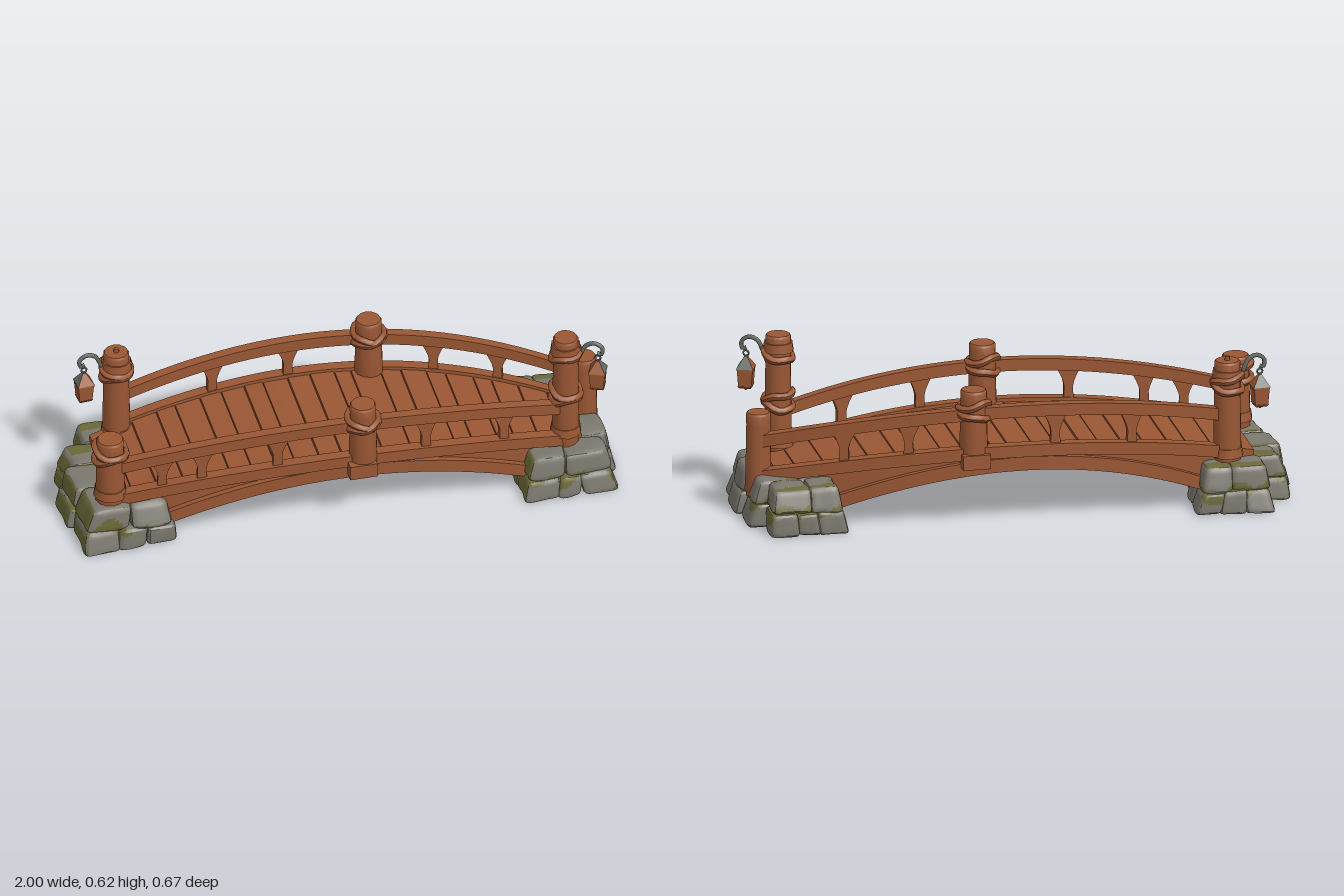
import * as THREE from 'three';
import { mergeVertices, toCreasedNormals } from 'three/addons/utils/BufferGeometryUtils.js';

const mat = (name, color) => {
  const m = new THREE.MeshStandardMaterial({ color });
  m.name = name;
  return m;
};

let seed = 7;
const rnd = (a = -1, b = 1) => {
  seed = (seed * 16807) % 2147483647;
  return a + (b - a) * (seed / 2147483647);
};

// Smooth cubic through four [x, z] points
const cubic = (pts) => (x) => pts.reduce((sum, [xi, zi], i) =>
  sum + pts.reduce((p, [xj], j) => (i === j ? p : p * (x - xj) / (xi - xj)), zi), 0);

const backEdge = cubic([[-0.85, -0.19], [-0.3, -0.248], [0.25, -0.222], [0.92, 0.005]]);
const frontEdge = cubic([[-0.85, 0.17], [-0.3, 0.25], [0.25, 0.268], [0.81, 0.215]]);
const deckY = (x) => 0.284 - 0.135 * x * x;
const railY = (x) => 0.445 - 0.155 * x * x;
const archY = (x) => 0.205 - 0.32 * x * x;

// Box bent so that its x, y and z faces follow the given rules
function bent(x0, x1, n, bottom, top, zBack, zFront) {
  const g = new THREE.BoxGeometry(1, 1, 1, n, 1, 6), p = g.attributes.position;
  const lerp = THREE.MathUtils.lerp;
  for (let i = 0; i < p.count; i++) {
    const x = x0 + (p.getX(i) + 0.5) * (x1 - x0);
    p.setXYZ(i, x, lerp(bottom(x), top(x), p.getY(i) + 0.5), lerp(zBack(x), zFront(x), p.getZ(i) + 0.5));
  }
  g.computeVertexNormals();
  return g;
}

export function createModel() {
  const model = new THREE.Group();
  const wood = mat('wood', 0x9a5734);
  const stone = mat('stone', 0x7b786e);
  const moss = mat('moss', 0x6b6938);
  const iron = mat('iron', 0x646a61);

  const add = (name, geo, material, parent = model, pos = [0, 0, 0]) => {
    const m = new THREE.Mesh(geo, material);
    m.name = name;
    m.position.set(...pos);
    parent.add(m);
    return m;
  };

  // Arched body under the deck
  add('archBody', bent(-0.72, 0.72, 32, archY, (x) => deckY(x) - 0.012,
    (x) => backEdge(x) + 0.005, (x) => frontEdge(x) - 0.005), wood);

  // Deck planks
  let px = -0.84;
  const planks = 21, plankW = 1.71 / planks;
  for (let i = 0; i < planks; i++) {
    const next = -0.84 + (i + 1) * plankW + (i < planks - 1 ? rnd() * 0.014 : 0);
    const lift = rnd(-0.002, 0.004);
    add('plank', bent(px, next - 0.004, 2, (x) => deckY(x) - 0.03, (x) => deckY(x) + lift, backEdge, frontEdge), wood);
    px = next;
  }

  // Stringers, lower trims, handrails and balusters on both sides
  const sides = [
    { edge: backEdge, x0: -0.78, x1: 0.93, bars: [-0.38, -0.1, 0.42, 0.64] },
    { edge: frontEdge, x0: -0.87, x1: 0.82, bars: [-0.67, -0.53, -0.26, 0.28, 0.57] },
  ];
  for (const { edge, x0, x1, bars } of sides) {
    const out = edge === backEdge ? -1 : 1;
    const beam = (name, a, b, top, h, w, off) => add(name, bent(a, b, 32, (x) => top(x) - h, top,
      (x) => edge(x) + off * out - w / 2, (x) => edge(x) + off * out + w / 2), wood);
    beam('stringer', x0, x1, (x) => deckY(x) + 0.014, 0.045, 0.04, 0.004);
    beam('archTrim', -0.7, 0.7, (x) => archY(x) + 0.045, 0.05, 0.03, 0);
    beam('handrail', x0, x1, railY, 0.044, 0.036, 0);

    for (const x of bars) {
      const h = railY(x) - deckY(x) - 0.015;
      const s = new THREE.Shape();
      s.moveTo(-0.018, -0.01);
      s.lineTo(0.018, -0.01);
      s.lineTo(0.016, h * 0.4);
      s.quadraticCurveTo(0.022, h * 0.65, 0.055, h);
      s.lineTo(-0.055, h);
      s.quadraticCurveTo(-0.022, h * 0.65, -0.016, h * 0.4);
      const g = new THREE.ExtrudeGeometry(s, { depth: 0.024, bevelEnabled: false, curveSegments: 4 });
      g.translate(0, 0, -0.012);
      const b = add('baluster', g, wood, model, [x, deckY(x), edge(x)]);
      b.rotation.y = -Math.atan((edge(x + 0.01) - edge(x - 0.01)) / 0.02);
    }
  }

  // Posts: position, bottom, top, radius, wrap heights and collar heights
  const posts = [
    { x: -0.74, z: -0.2, y0: 0.14, y1: 0.54, r: 0.05, wraps: [0.445, 0.47], collars: [0.2, 0.49], peg: true },
    { x: -0.85, z: 0.16, y0: 0.14, y1: 0.435, r: 0.053, wraps: [0.36, 0.39], collars: [0.21] },
    { x: 0.05, z: 0.268, y0: 0.23, y1: 0.51, r: 0.051, wraps: [0.42, 0.445], collars: [] },
    { x: 0.19, z: -0.22, y0: 0.23, y1: 0.505, r: 0.051, wraps: [0.42, 0.445], collars: [] },
    { x: 0.81, z: 0.2, y0: 0.16, y1: 0.62, r: 0.049, wraps: [0.36, 0.39, 0.545], collars: [0.222, 0.575] },
    { x: 0.92, z: 0.028, y0: 0.08, y1: 0.392, r: 0.047, wraps: [], collars: [] },
  ];
  for (const { x, z, y0, y1, r, wraps, collars, peg } of posts) {
    const post = new THREE.Group();
    post.name = 'post';
    post.position.set(x, 0, z);
    model.add(post);
    const h = y1 - y0;
    const profile = [[0, 0], [r * 0.95, 0], [r * 1.03, h * 0.15], [r * 0.98, h * 0.5], [r * 0.94, h * 0.85],
      [r * 0.95, h - 0.008], [r * 0.85, h], [0, h]].map(([a, b]) => new THREE.Vector2(a, y0 + b));
    add('postShaft', toCreasedNormals(new THREE.LatheGeometry(profile, 12), 0.6), wood, post);
    collars.forEach((y) => add('postCollar', toCreasedNormals(
      new THREE.CylinderGeometry(r * 1.06, r * 1.15, 0.034, 12), 0.6), wood, post, [0, y, 0]));
    // Wobbly tilted rope loops
    wraps.forEach((y, i) => {
      const g = new THREE.TorusGeometry(r * 1.12, 0.011, 6, 18).rotateX(Math.PI / 2);
      const p = g.attributes.position;
      for (let k = 0; k < p.count; k++) {
        const a = Math.atan2(p.getZ(k), p.getX(k));
        p.setY(k, p.getY(k) * 1.3 + 0.005 * Math.sin(3 * a + y * 60));
      }
      g.computeVertexNormals();
      add('ropeWrap', g, wood, post, [0, y, 0]).rotation.set(i % 2 ? 0.2 : -0.22, 0, i % 2 ? -0.18 : 0.18);
    });
    if (peg) add('postPeg', new THREE.CylinderGeometry(0.009, 0.01, 0.025, 8), wood, post, [0, y1 + 0.002, 0]);
  }

  // Bracket blocks under the middle posts
  add('bracketBlock', new THREE.BoxGeometry(0.1, 0.056, 0.065), wood, model, [0.04, 0.247, 0.292]);
  add('bracketBlock', new THREE.BoxGeometry(0.1, 0.053, 0.06), wood, model, [0.19, 0.246, -0.248]);

  // Hanging lanterns, built outward along +x; ironFaces lists the iron sides of the roof
  function lantern(x, y, z, yaw, ironFaces) {
    const g = new THREE.Group();
    g.name = 'lantern';
    g.position.set(x, y, z);
    g.rotation.y = yaw;
    model.add(g);
    const path = [[0.035, -0.1], [0.055, -0.05], [0.074, -0.012], [0.105, 0], [0.132, -0.018], [0.128, -0.045], [0.113, -0.04]];
    const curve = new THREE.CatmullRomCurve3(path.map(([a, b]) => new THREE.Vector3(a, b, 0)));
    add('lanternHook', new THREE.TubeGeometry(curve, 24, 0.008, 6), iron, g);
    add('lanternLink', new THREE.TorusGeometry(0.01, 0.0035, 5, 10), iron, g, [0.116, -0.062, 0]);
    const part = (name, r1, r2, h, py, m) => {
      const geo = new THREE.CylinderGeometry(r1, r2, h, 4).toNonIndexed().rotateY(Math.PI / 4);
      geo.computeVertexNormals();
      return add(name, geo, m, g, [0.116, py, 0]);
    };
    const roof = part('lanternRoof', 0.008, 0.044, 0.042, -0.095, [wood, iron]).geometry;
    roof.clearGroups();
    for (let f = 0; f < 4; f++) roof.addGroup(f * 6, 6, ironFaces.includes(f) ? 1 : 0);
    roof.addGroup(24, roof.attributes.position.count - 24, 0);
    part('lanternRim', 0.042, 0.042, 0.007, -0.119, wood);
    part('lanternBody', 0.04, 0.034, 0.06, -0.152, wood);
    part('lanternBase', 0.037, 0.028, 0.009, -0.186, wood);
    part('lanternTip', 0.012, 0.004, 0.01, -0.195, wood);
  }
  lantern(0.81, 0.603, 0.2, -0.39, [0, 1]);
  lantern(-0.745, 0.548, -0.2, Math.PI + 0.08, [0, 3]);

  // Rounded uneven stone with mossy patches near its edges; the pile narrows upward
  function addStone(parent, [ox, oz], cx, cy, cz, sx, sy, sz) {
    let g = new THREE.BoxGeometry(2, 2, 2, 10, 8, 10);
    g.deleteAttribute('uv');
    g.deleteAttribute('normal');
    g = mergeVertices(g);
    const p = g.attributes.position, v = new THREE.Vector3(), ph = rnd(0, 6);
    const lean = [rnd() * 0.12, rnd() * 0.12];
    const taper = (x, y, z) => [ox + (x - ox) * (1 - 1.25 * y), y, oz + (z - oz) * (1 - 0.7 * y)];
    for (let i = 0; i < p.count; i++) {
      v.fromBufferAttribute(p, i);
      const norm = (Math.abs(v.x) ** 7 + Math.abs(v.y) ** 7 + Math.abs(v.z) ** 7) ** (1 / 7);
      v.multiplyScalar(1 / norm);
      const k = 1 + 0.06 * Math.sin(v.x * 2.3 + ph) * Math.cos(v.z * 2.7 - ph);
      p.setXYZ(i, ...taper(cx + (v.x * k - v.y * lean[0]) * sx / 2, Math.max(0, cy + v.y * k * sy / 2),
        cz + (v.z * k - v.y * lean[1]) * sz / 2));
    }
    g = toCreasedNormals(g, 0.5);
    const q = g.attributes.position, plain = [], mossy = [], mid = taper(cx, cy, cz), size = [sx, sy, sz];
    for (let i = 0; i < q.count; i += 3) {
      const c = [0, 1, 2].map((a) => (q.getComponent(i, a) + q.getComponent(i + 1, a) + q.getComponent(i + 2, a)) / 3);
      const edge = c.reduce((s, ca, a) => s + ((ca - mid[a]) / size[a]) ** 2, 0);
      const n = Math.sin(c[0] * 43 + ph) + Math.sin(c[1] * 50 + 2.6 + ph * 0.3)
        + Math.sin(c[2] * 45 + c[0] * 16 - ph) + 4 * (edge - 0.4);
      (n > 0.95 && c[1] > 0.003 ? mossy : plain).push(i, i + 1, i + 2);
    }
    g.setIndex([...plain, ...mossy]);
    g.addGroup(0, plain.length, 0);
    g.addGroup(plain.length, mossy.length, 1);
    add('stone', g, [stone, moss], parent);
  }

  // Abutments: rows of [zMin, zMax, xMin, xMax], laid in two courses around a solid core
  const piles = [
    { name: 'rightAbutment', mid: [0.81, 0.045],
      rows: [[0.215, 0.33, 0.63, 0.97], [0.06, 0.22, 0.62, 0.995], [-0.105, 0.06, 0.64, 0.975], [-0.24, -0.1, 0.65, 0.93]] },
    { name: 'leftAbutment', mid: [-0.8, -0.035],
      rows: [[-0.33, -0.2, -0.88, -0.61], [-0.205, -0.07, -0.97, -0.62], [-0.075, 0.09, -0.995, -0.64], [0.085, 0.26, -0.97, -0.62]] },
  ];
  for (const { name, mid, rows } of piles) {
    const pile = new THREE.Group();
    pile.name = name;
    model.add(pile);
    add('rubbleCore', new THREE.BoxGeometry(0.14, 0.1, 0.4), stone, pile, [mid[0] - 0.02 * Math.sign(mid[0]), 0.051, mid[1]]);
    for (const [z0, z1, x0, x1] of rows) {
      for (const course of [0, 1]) {
        const split = course ? [0, 0.5 + rnd() * 0.08, 1] : [0, 0.34 + rnd() * 0.05, 0.67 + rnd() * 0.05, 1];
        for (let i = 0; i < split.length - 1; i++) {
          const w = (split[i + 1] - split[i]) * (x1 - x0);
          addStone(pile, mid, x0 + (x1 - x0) * (split[i] + split[i + 1]) / 2, course ? 0.124 : 0.041,
            (z0 + z1) / 2, w + 0.008, (course ? 0.09 : 0.088) + rnd() * 0.008, z1 - z0 + 0.006);
        }
      }
    }
  }
  return model;
}
